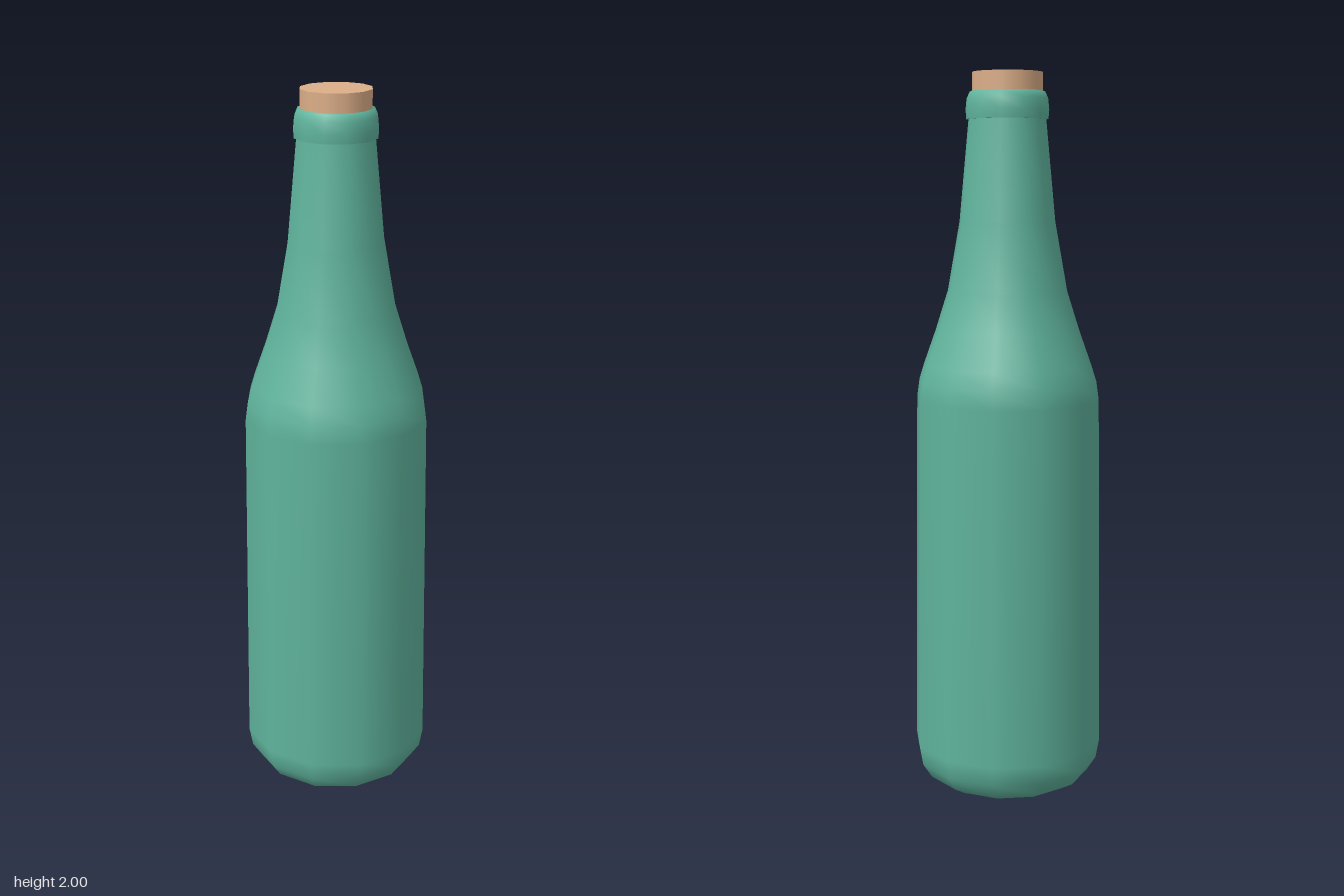
import * as THREE from 'three';

const SIDES = 12;

// Turns a bottom-to-top [radius, height] profile into a smooth 12-sided form
function turned(name, profile, material) {
  const points = profile.map(([r, y]) => new THREE.Vector2(r, y));
  const mesh = new THREE.Mesh(new THREE.LatheGeometry(points, SIDES), material);
  mesh.name = name;
  return mesh;
}

export function createModel() {
  const glass = new THREE.MeshStandardMaterial({ color: 0x5fb39c });
  const corkMaterial = new THREE.MeshStandardMaterial({ color: 0xdcae88 });
  const model = new THREE.Group();
  model.name = 'bottle';

  // Base, slightly tapered body, shoulder and neck
  model.add(turned('body', [
    [0, 0], [0.195, 0.004], [0.232, 0.025], [0.258, 0.065], [0.268, 0.12],
    [0.257, 1.11], [0.25, 1.16], [0.236, 1.205], [0.202, 1.3],
    [0.167, 1.41], [0.133, 1.6], [0.107, 1.875],
  ], glass));

  // Underside of the lip, kept separate for a sharp edge
  model.add(turned('lipUnderside', [[0.095, 1.875], [0.113, 1.875]], glass));

  // Rounded lip closing in on the stopper
  model.add(turned('lip', [
    [0.113, 1.875], [0.115, 1.9], [0.112, 1.93], [0.104, 1.948], [0.09, 1.952],
  ], glass));

  // Stopper
  const cork = new THREE.Mesh(new THREE.CylinderGeometry(0.097, 0.097, 0.1, SIDES), corkMaterial);
  cork.name = 'cork';
  cork.position.y = 1.95;
  model.add(cork);

  return model;
}
